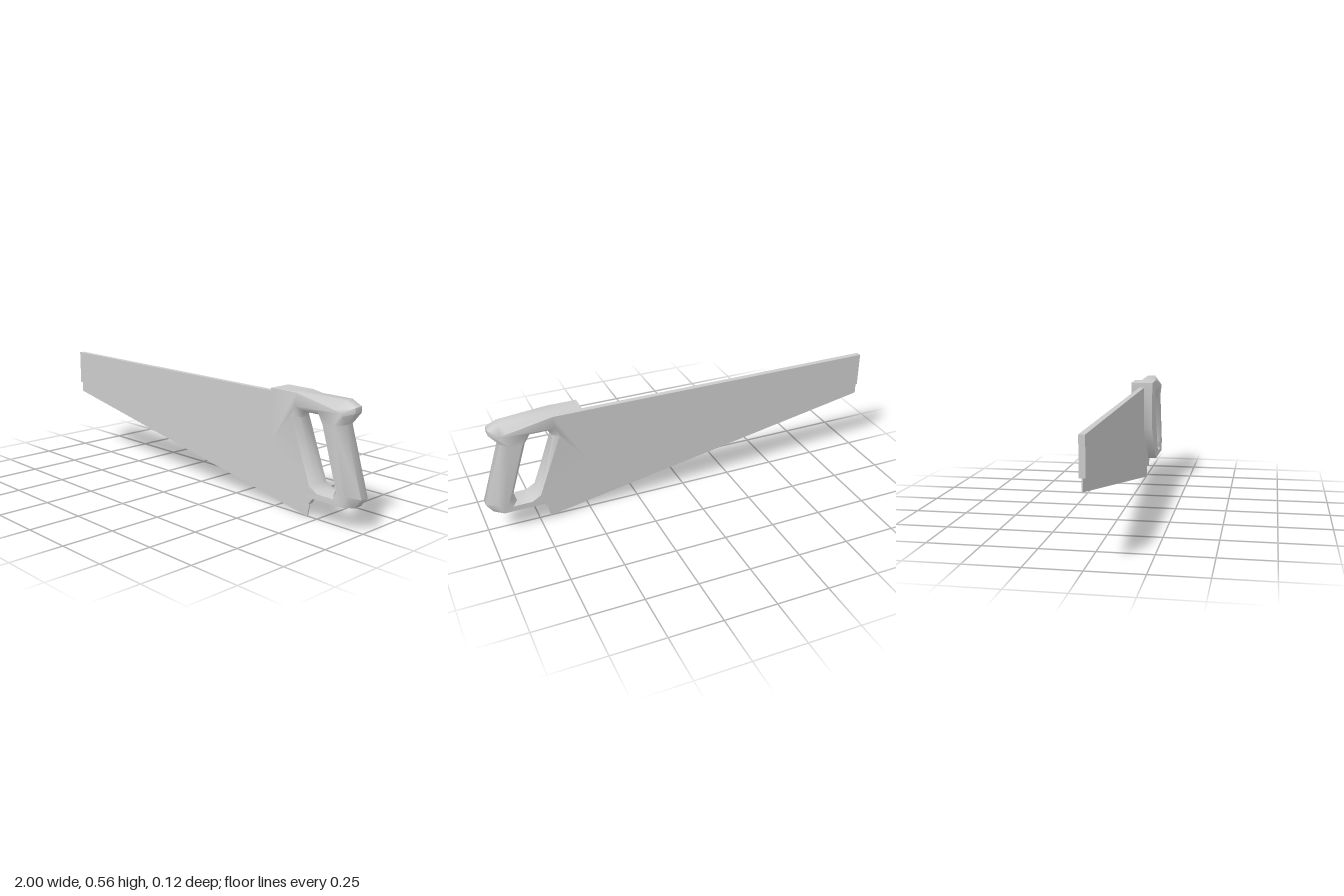
import * as THREE from 'three';
import { toCreasedNormals } from 'three/addons/utils/BufferGeometryUtils.js';

const material = new THREE.MeshStandardMaterial({ color: 0xcccccc });

// Flat plate cut from an outline in x,y and centred on z = 0
function plate(name, points, thickness) {
  const shape = new THREE.Shape(points.map(([x, y]) => new THREE.Vector2(x, y)));
  const geometry = new THREE.ExtrudeGeometry(shape, { depth: thickness, bevelEnabled: false });
  geometry.translate(0, 0, -thickness / 2);
  const mesh = new THREE.Mesh(geometry, material);
  mesh.name = name;
  return mesh;
}

// Handle outline, each point as [mid x, mid y, side x, side y]
const OUTER = [
  [0.515, 0.565, 0.515, 0.565], [0.66, 0.565, 0.66, 0.565],
  [0.90, 0.565, 0.87, 0.525], [0.95, 0.54, 0.905, 0.515],
  [0.95, 0.515, 0.91, 0.50], [0.905, 0.46, 0.868, 0.455],
  [1.0, 0.155, 0.95, 0.165], [0.968, 0.112, 0.925, 0.112],
  [0.69, 0.112, 0.69, 0.112], [0.515, 0.31, 0.515, 0.31],
].reverse();

// Finger hole, wider at the sides than in the middle
const HOLE = [
  [0.66, 0.45, 0.635, 0.46], [0.68, 0.48, 0.655, 0.505],
  [0.765, 0.48, 0.78, 0.505], [0.79, 0.44, 0.81, 0.45],
  [0.87, 0.18, 0.895, 0.17], [0.855, 0.145, 0.88, 0.138],
  [0.79, 0.145, 0.79, 0.14], [0.76, 0.17, 0.748, 0.165],
];

function handleGeometry() {
  const SIDE = 0.058, MID = 0.022;
  const positions = [];
  const tri = (a, b, c) => positions.push(...a, ...b, ...c);
  const side = (p, z) => [p[2], p[3], z];
  const mid = (p, z) => [p[0], p[1], z];

  // Flat faces on both sides
  const flat = (loop) => loop.map((p) => new THREE.Vector2(p[2], p[3]));
  const all = [...OUTER, ...HOLE];
  for (const [a, b, c] of THREE.ShapeUtils.triangulateShape(flat(OUTER), [flat(HOLE)])) {
    tri(side(all[a], SIDE), side(all[b], SIDE), side(all[c], SIDE));
    tri(side(all[a], -SIDE), side(all[c], -SIDE), side(all[b], -SIDE));
  }

  // Bevelled walls around the outline and the hole
  for (const loop of [OUTER, HOLE]) {
    const rings = [
      loop.map((p) => side(p, SIDE)), loop.map((p) => mid(p, MID)),
      loop.map((p) => mid(p, -MID)), loop.map((p) => side(p, -SIDE)),
    ];
    for (let r = 0; r < 3; r++) {
      for (let i = 0; i < loop.length; i++) {
        const j = (i + 1) % loop.length;
        const front = rings[r], back = rings[r + 1];
        tri(back[i], back[j], front[j]);
        tri(back[i], front[j], front[i]);
      }
    }
  }
  const geometry = new THREE.BufferGeometry();
  geometry.setAttribute('position', new THREE.Float32BufferAttribute(positions, 3));
  return toCreasedNormals(geometry, 1.0);
}

export function createModel() {
  const saw = new THREE.Group();
  saw.name = 'handSaw';

  // Tapered blade, its heel ending inside the handle
  saw.add(plate('blade', [
    [-1, 0.54], [-1, 0.37], [0.71, 0.062], [0.722, 0.08], [0.735, 0.095],
    [0.735, 0.125], [0.62, 0.42], [0.6, 0.54],
  ], 0.027));

  // Thin cutting edge below the blade
  saw.add(plate('cuttingEdge', [
    [-1, 0.38], [-1, 0.315], [0.697, 0], [0.71, 0.07],
  ], 0.006));

  const handle = new THREE.Mesh(handleGeometry(), material);
  handle.name = 'handle';
  saw.add(handle);
  return saw;
}
